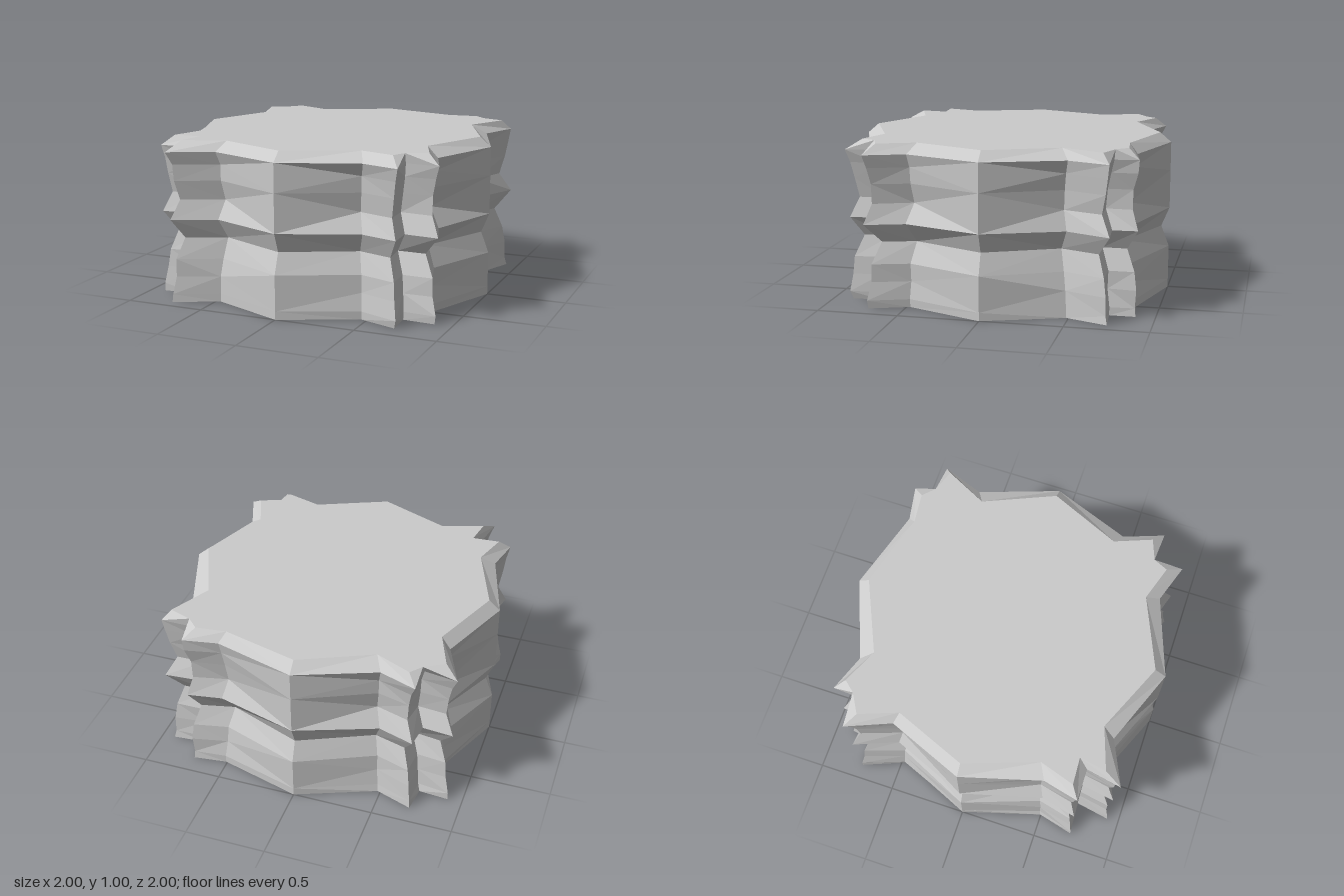
import * as THREE from 'three';

// Widest outline of the rock as [x, z], counter-clockwise seen from above.
const OUTLINE = [
  [0, 1], [0.48, 0.82], [0.72, 0.9], [0.71, 0.72], [0.91, 0.73], [0.83, 0.49],
  [1, 0], [0.83, -0.49], [0.93, -0.75], [0.73, -0.74], [0.73, -0.9], [0.51, -0.86],
  [0, -1], [-0.49, -0.82], [-0.71, -0.89], [-0.73, -0.73], [-0.92, -0.75], [-0.82, -0.48],
  [-1, 0], [-0.86, 0.5], [-0.92, 0.73], [-0.71, 0.72], [-0.75, 0.94], [-0.48, 0.82],
];
// Bevelled rim around the flat top.
const RIM = [
  [0, 0.93], [0.44, 0.74], [0.66, 0.81], [0.7, 0.72], [0.83, 0.67], [0.74, 0.44],
  [0.93, 0], [0.74, -0.44], [0.87, -0.7], [0.73, -0.75], [0.66, -0.82], [0.47, -0.8],
  [0, -0.93], [-0.44, -0.73], [-0.66, -0.83], [-0.72, -0.76], [-0.84, -0.69], [-0.75, -0.45],
  [-0.93, 0], [-0.77, 0.45], [-0.84, 0.67], [-0.67, 0.66], [-0.7, 0.83], [-0.44, 0.74],
];
// Layers: height, scale of the four main ridges, scale of the other points.
const LAYERS = [
  [0, 1, 0.985], [0.05, 1, 0.985], [0.16, 1, 0.97], [0.27, 1, 0.955], [0.4, 0.95, 0.9],
  [0.52, 1, 0.995], [0.64, 1, 0.935], [0.76, 1, 0.95], [0.86, 1, 0.97], [0.94, 1, 0.995],
];

function seeded(seed) {
  return () => {
    seed = (seed * 16807) % 2147483647;
    return seed / 2147483647;
  };
}

export function createModel() {
  const group = new THREE.Group();
  const n = OUTLINE.length;
  const rand = seeded(77);

  // Rings of the wall, slightly uneven between the main ridges
  const rings = LAYERS.map(([y, ridge, other]) => OUTLINE.map(([x, z], i) => {
    const s = i % 6 === 0 ? ridge : other + (rand() - 0.5) * 0.024;
    return [x * s, y, z * s];
  }));
  rings.push(RIM.map(([x, z]) => [x, 1, z]));

  const makeMesh = (name, positions, index) => {
    const geometry = new THREE.BufferGeometry();
    geometry.setAttribute('position', new THREE.Float32BufferAttribute(positions, 3));
    geometry.setIndex(index);
    const flat = geometry.toNonIndexed();
    flat.computeVertexNormals();
    const mesh = new THREE.Mesh(flat, new THREE.MeshStandardMaterial({ color: 0xcccccc, flatShading: true }));
    mesh.name = name;
    group.add(mesh);
  };

  // Rugged side wall
  const wall = [];
  for (let j = 0; j < rings.length - 1; j++) {
    for (let i = 0; i < n; i++) {
      const a = j * n + i, b = j * n + (i + 1) % n, c = b + n, d = a + n;
      if ((i + j) % 2) wall.push(a, b, c, a, c, d);
      else wall.push(a, b, d, b, c, d);
    }
  }
  makeMesh('rockWall', rings.flat(2), wall);

  // Flat top and underside, triangulated from the end rings
  const addCap = (name, ring, up) => {
    const contour = ring.map(([x, , z]) => new THREE.Vector2(x, -z));
    const faces = THREE.ShapeUtils.triangulateShape(contour, []);
    makeMesh(name, ring.flat(), faces.flatMap(([a, b, c]) => (up ? [a, b, c] : [a, c, b])));
  };
  addCap('rockTop', rings[rings.length - 1], true);
  addCap('rockUnderside', rings[0], false);

  return group;
}
